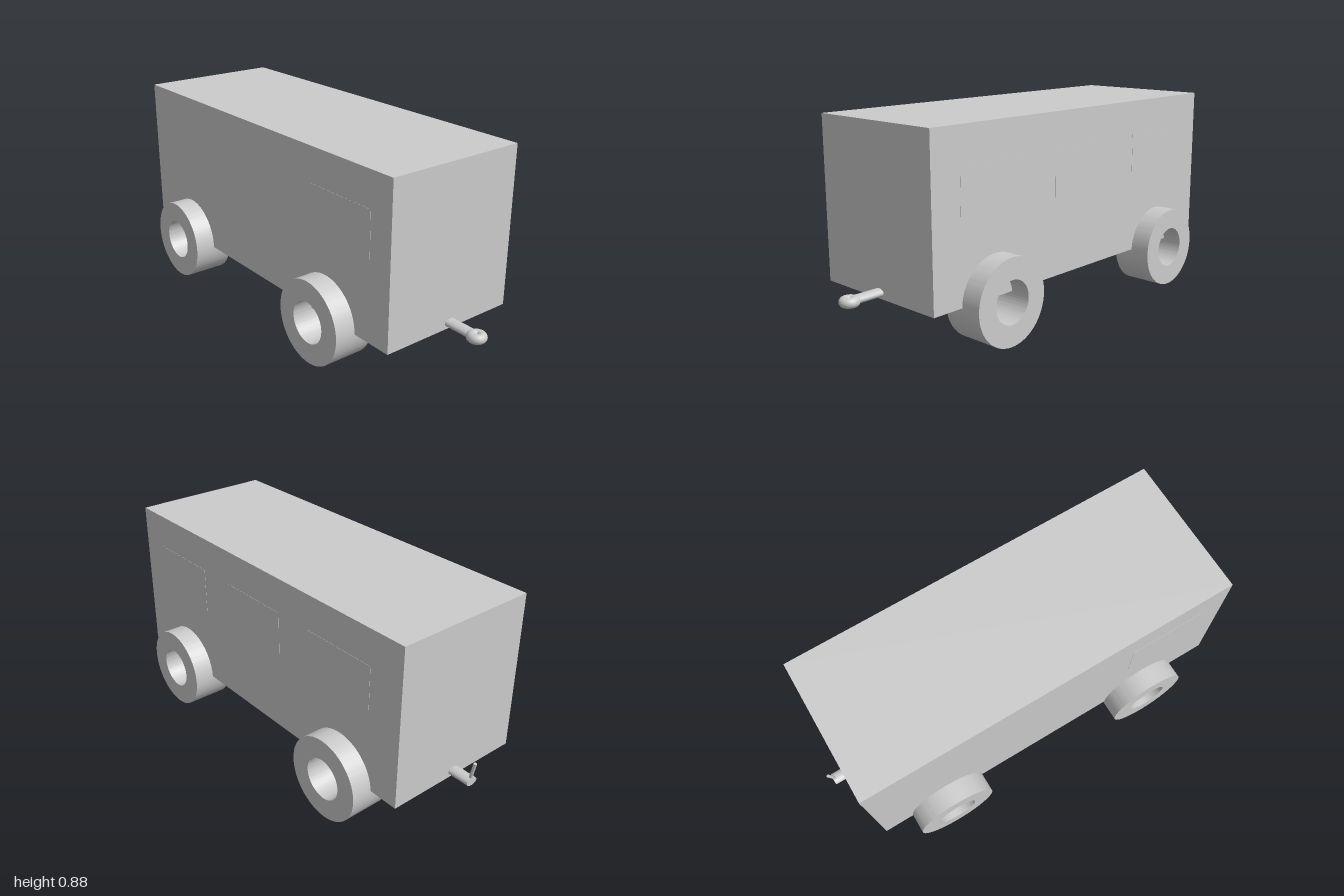
import * as THREE from 'three';
import { toCreasedNormals } from 'three/addons/utils/BufferGeometryUtils.js';

export function createModel() {
  const model = new THREE.Group();
  model.name = 'wagon';
  const material = new THREE.MeshStandardMaterial({ color: 0xcccccc });

  function add(name, geometry, x, y, z) {
    const mesh = new THREE.Mesh(geometry, material);
    mesh.name = name;
    mesh.position.set(x, y, z);
    model.add(mesh);
    return mesh;
  }

  // Box body
  add('body', new THREE.BoxGeometry(0.64, 0.69, 1.71), 0, 0.535, -0.035);

  // Window panes, almost flush with the side walls
  function addWindow(name, side, z) {
    add(name, new THREE.BoxGeometry(0.02, 0.21, 0.35), side * 0.311, 0.625, z);
  }
  [0.505, -0.025, -0.555].forEach((z, i) => addWindow('leftWindow' + (i + 1), 1, z));
  addWindow('rightWindow', -1, 0.535);

  // Thick ring wheels, hollow through the middle, partly sunk into the body
  const width = 0.178;
  const ring = new THREE.Shape().absarc(0, 0, 0.18, 0, Math.PI * 2, false);
  ring.holes.push(new THREE.Path().absarc(0, 0, 0.09, 0, Math.PI * 2, true));
  const wheel = toCreasedNormals(
    new THREE.ExtrudeGeometry(ring, { depth: width, bevelEnabled: false, curveSegments: 48 })
      .translate(0, 0, -width / 2)
      .rotateY(Math.PI / 2),
    0.6
  );
  add('frontLeftWheel', wheel, 0.32, 0.187, 0.5);
  add('backLeftWheel', wheel, 0.32, 0.181, -0.578);
  add('frontRightWheel', wheel, -0.322, 0.193, 0.453);
  add('backRightWheel', wheel, -0.322, 0.193, -0.575);

  // Slightly flattened coupling rods
  function addRod(name, z0, z1) {
    const rod = new THREE.CylinderGeometry(0.027, 0.027, z1 - z0, 32)
      .rotateX(Math.PI / 2)
      .scale(1, 0.62, 1);
    add(name, rod, 0.005, 0.215, (z0 + z1) / 2);
  }
  addRod('frontRod', 0.78, 0.935);
  addRod('backRod', -0.985, -0.85);

  // Coupling eye at the front
  const eye = new THREE.TorusGeometry(0.0205, 0.0205, 20, 40).rotateX(Math.PI / 2);
  add('couplingEye', eye, 0.005, 0.214, 0.959);

  // Thin hook pin leaning back at the rear
  const pin = add('hookPin', new THREE.CylinderGeometry(0.007, 0.007, 0.09, 16), 0.005, 0.26, -0.983);
  pin.rotation.x = -0.2;

  return model;
}
